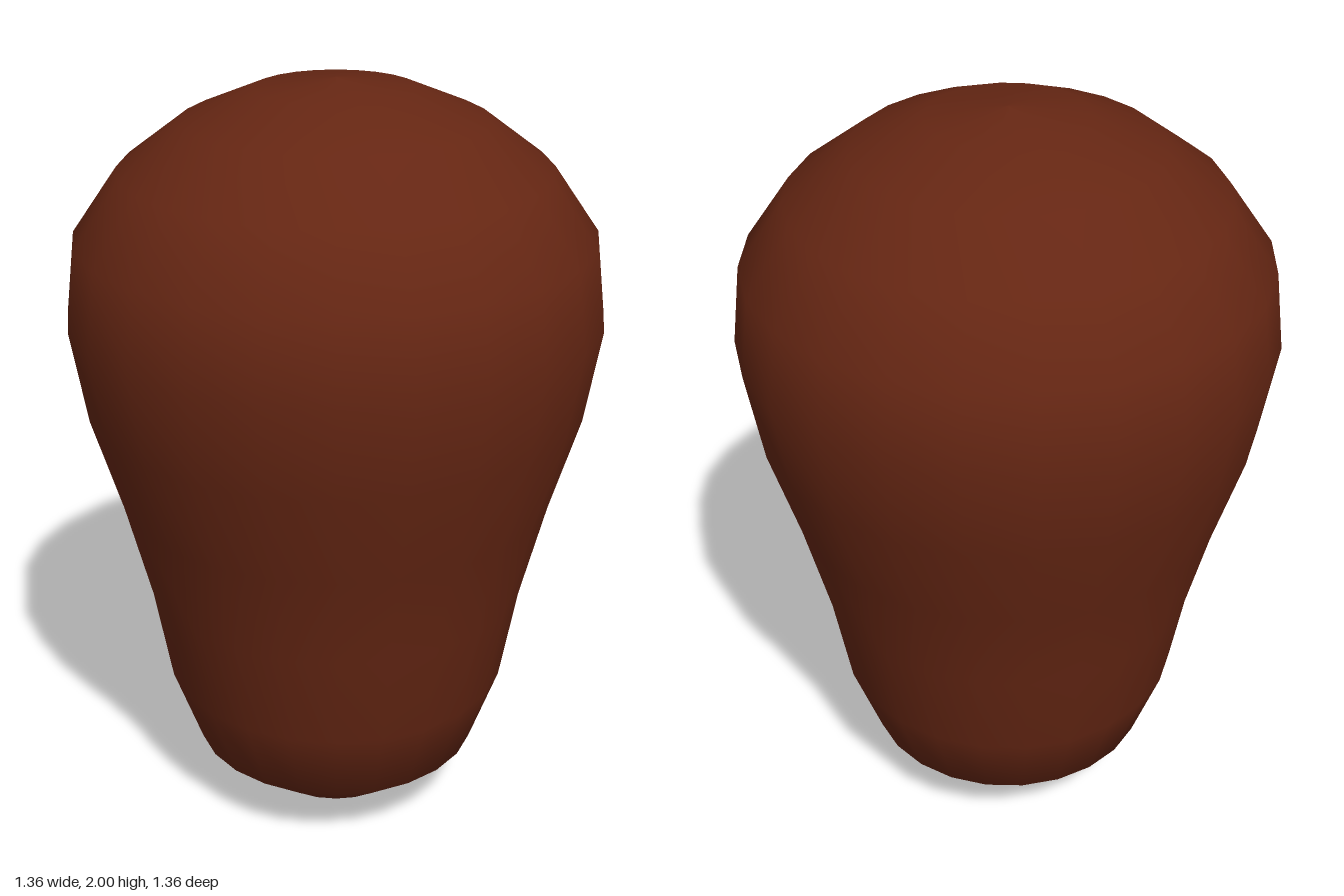
import * as THREE from 'three';

export function createModel() {
  const group = new THREE.Group();

  // Profile from the bottom tip to the crown: [radius, height]
  const profile = [
    [0, 0], [0.2, 0.055], [0.38, 0.195], [0.455, 0.405], [0.5, 0.66],
    [0.565, 0.92], [0.64, 1.17], [0.68, 1.41], [0.655, 1.615],
    [0.54, 1.78], [0.38, 1.9], [0.2, 1.975], [0, 2],
  ].map(([r, y]) => new THREE.Vector2(r, y));

  // Smooth bulbous body, wide at the top and tapering down
  const body = new THREE.Mesh(
    new THREE.LatheGeometry(profile, 24),
    new THREE.MeshStandardMaterial({ color: 0x652613 }),
  );
  body.name = 'body';
  group.add(body);

  return group;
}
